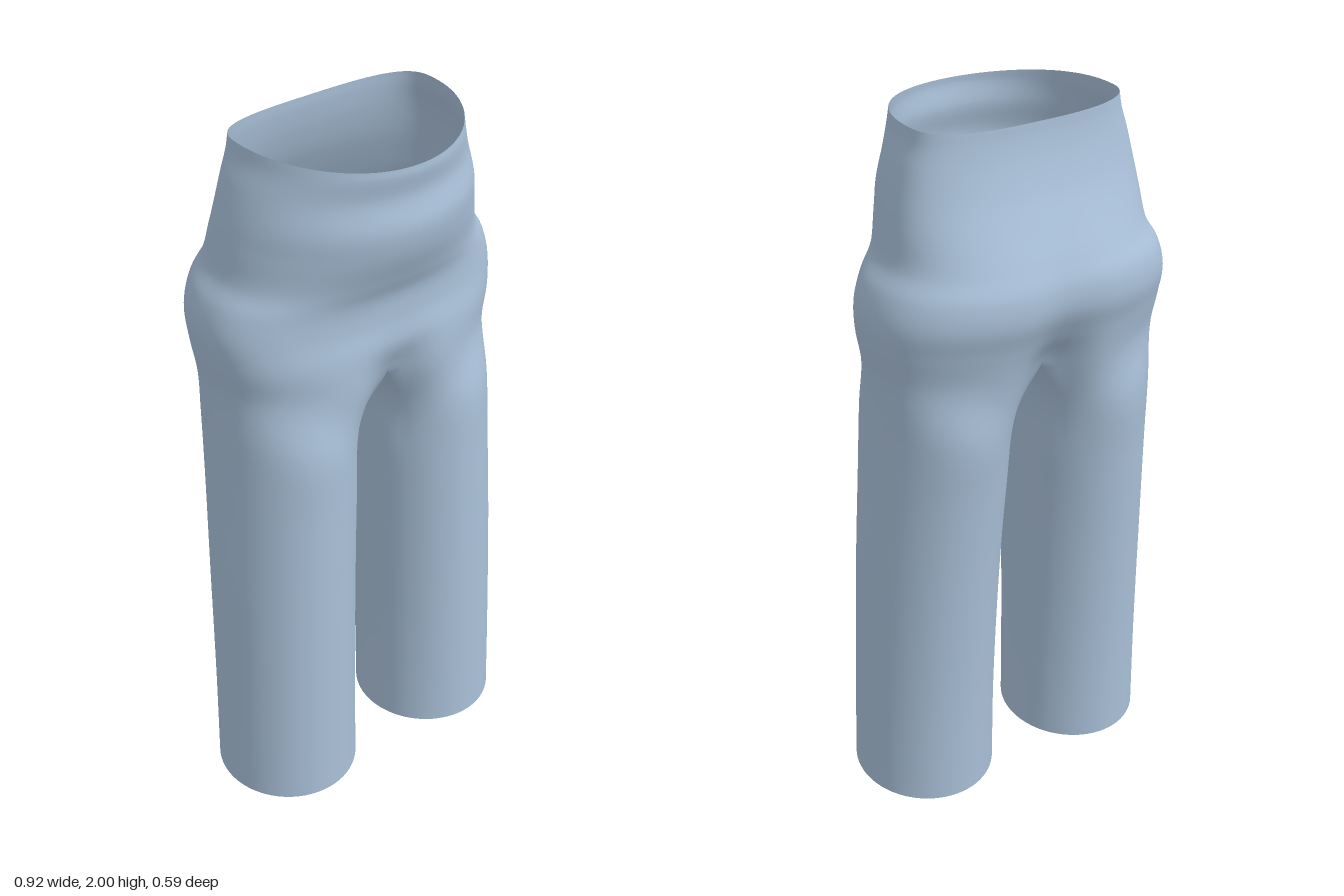
import * as THREE from 'three';
import { mergeVertices } from 'three/addons/utils/BufferGeometryUtils.js';

// Leg sections: y, inner x, outer x, front z, back z
const LEG = [
  [0, 0.06, 0.46, 0.268, -0.16],
  [0.3, 0.06, 0.45, 0.264, -0.17],
  [0.7, 0.053, 0.435, 0.257, -0.195],
  [1.0, 0.042, 0.42, 0.25, -0.22],
  [1.2, 0.028, 0.412, 0.243, -0.238],
];
// Hip sections: y, half width, front z, back z, front and back squareness, front and back centre dip
const HIP = [
  [1.35, 0.413, 0.245, -0.255, 2.4, 2.4, 0.06, 0.08],
  [1.45, 0.427, 0.236, -0.275, 2.5, 2.4, 0.012, 0.035],
  [1.53, 0.43, 0.222, -0.297, 2.5, 2.4, 0, 0.018],
  [1.6, 0.41, 0.226, -0.294, 2.4, 2.4, 0, 0.012],
  [1.66, 0.375, 0.25, -0.268, 2.2, 2.4, 0, 0.006],
  [1.75, 0.36, 0.285, -0.22, 2, 2.5, 0, 0],
  [1.82, 0.347, 0.295, -0.188, 2, 2.6, 0, 0],
  [1.9, 0.327, 0.28, -0.163, 2, 2.8, 0, 0],
  [1.96, 0.307, 0.288, -0.152, 2, 3, 0, 0],
  [2.0, 0.3, 0.287, -0.15, 2, 3, 0, 0],
];
const OUTER = 56; // columns from centre front round the outside to centre back
const INNER = 24; // columns along the inside of the leg
const STEPS = 6;  // rows between two sections
const SPREAD = 0.9; // how far the outer columns wrap onto the inside of the leg

function legPoint([y, inner, outer, front, back], angle) {
  const z = (front + back) / 2 + (front - back) / 2 * Math.cos(angle);
  const x = (inner + outer) / 2 + (outer - inner) / 2 * Math.sin(angle);
  return new THREE.Vector3(x, y === 0 ? 0.045 * (z + 0.16) : y, z);
}

function hipPoint([y, width, front, back, nFront, nBack, dipFront, dipBack], angle) {
  const s = Math.max(0, Math.sin(angle)), c = Math.cos(angle), mid = -0.02;
  const n = c > 0 ? nFront : nBack;
  const x = s < 1e-6 ? 0 : width * Math.pow(s, 2 / n);
  const dip = Math.exp(-((x / 0.09) ** 2));
  const reach = Math.pow(Math.abs(c), 2 / n);
  const z = c > 0
    ? mid + (front - mid) * reach - dipFront * dip
    : mid + (back - mid) * reach + dipBack * dip;
  const rim = y === 2 ? (c > 0 ? 0.02 : 0.008) * c * c : 0; // waist dips at front and back
  return new THREE.Vector3(x, y - rim, z);
}

// Smooth run of points through the first `spans` intervals of the sections
function sample(keys, spans) {
  const curve = new THREE.CatmullRomCurve3(keys, false, 'centripetal');
  const points = [];
  for (let i = 0; i <= spans * STEPS; i++) {
    const p = curve.getPoint(i / ((keys.length - 1) * STEPS));
    p.x = Math.max(0, p.x);
    points.push(p);
  }
  return points;
}

function buildColumns() {
  const columns = [];
  const seamRow = LEG.length * STEPS;
  // outside columns run from hem to waist
  for (let j = 0; j <= OUTER; j++) {
    const t = j / OUTER;
    const keys = [
      ...LEG.map((k) => legPoint(k, -SPREAD + t * (Math.PI + 2 * SPREAD))),
      ...HIP.map((k) => hipPoint(k, t * Math.PI)),
    ];
    const column = sample(keys, keys.length - 1);
    if (j === 0 || j === OUTER) column.forEach((p, i) => { if (i >= seamRow) p.x = 0; });
    columns.push(column);
  }
  // inside columns end on the crotch curve, level with their mirror image
  const zBack = hipPoint(HIP[0], Math.PI).z, zFront = hipPoint(HIP[0], 0).z;
  for (let j = 1; j < INNER; j++) {
    const t = j / INNER;
    const keys = LEG.map((k) => legPoint(k, Math.PI + SPREAD + t * (Math.PI - 2 * SPREAD)));
    const last = keys[keys.length - 1];
    const z = THREE.MathUtils.lerp(zBack, zFront, t);
    keys.push(new THREE.Vector3(0, 1.28 + 0.07 * (2 * t - 1) ** 2, z));
    keys.push(new THREE.Vector3(-last.x, last.y, last.z));
    columns.push(sample(keys, LEG.length));
  }
  return columns;
}

function trouserGeometry() {
  const columns = buildColumns();
  const positions = [], index = [];
  for (const side of [1, -1]) {
    const starts = columns.map((column) => {
      const start = positions.length / 3;
      column.forEach((p) => positions.push(side * p.x, p.y, p.z));
      return start;
    });
    columns.forEach((column, j) => {
      const k = (j + 1) % columns.length;
      const rows = Math.min(column.length, columns[k].length) - 1;
      for (let i = 0; i < rows; i++) {
        const a = starts[j] + i, b = starts[k] + i;
        if (side > 0) index.push(a, b, b + 1, a, b + 1, a + 1);
        else index.push(a, b + 1, b, a, a + 1, b + 1);
      }
    });
  }
  const geometry = new THREE.BufferGeometry();
  geometry.setAttribute('position', new THREE.Float32BufferAttribute(positions, 3));
  geometry.setIndex(index);
  const welded = mergeVertices(geometry, 1e-5); // joins both halves along the centre
  welded.computeVertexNormals();
  return welded;
}

export function createModel() {
  const group = new THREE.Group();
  group.name = 'trousers';
  const cloth = new THREE.MeshStandardMaterial({ color: 0xa9c0d8, side: THREE.DoubleSide });
  const mesh = new THREE.Mesh(trouserGeometry(), cloth);
  mesh.name = 'trouserCloth';
  group.add(mesh);
  return group;
}
